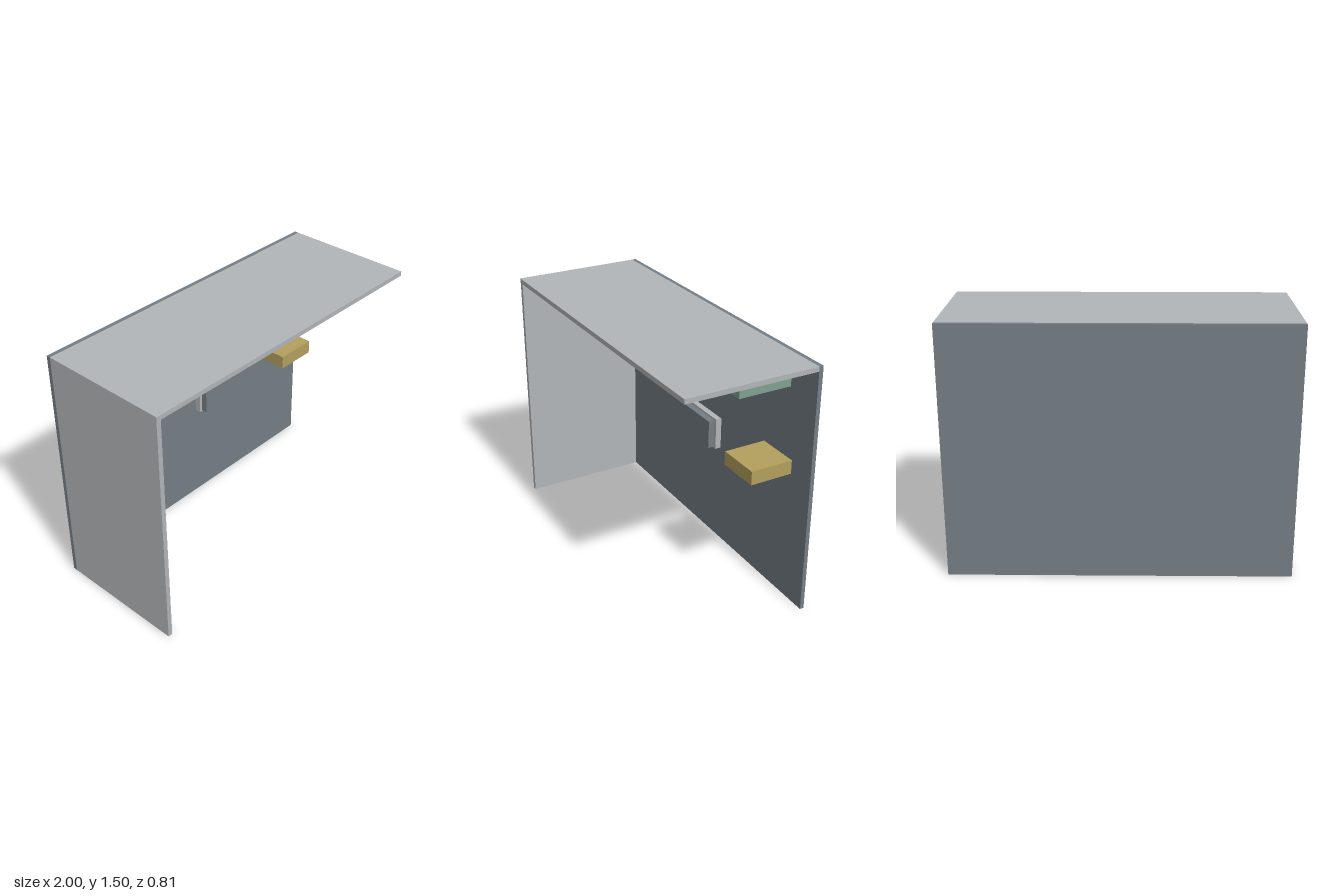
import * as THREE from 'three';

const material = (name, color) => {
  const m = new THREE.MeshStandardMaterial({ color });
  m.name = name;
  return m;
};

export function createModel() {
  const group = new THREE.Group();
  const lightGrey = material('light grey', 0xb2b5b8);
  const slate = material('slate grey', 0x757e85);
  const green = material('soft green', 0x80a292);
  const ochre = material('ochre', 0xb3a05e);

  // Box given by its [min, max] extent along each axis
  const box = (name, mat, [x0, x1], [y0, y1], [z0, z1]) => {
    const mesh = new THREE.Mesh(new THREE.BoxGeometry(x1 - x0, y1 - y0, z1 - z0), mat);
    mesh.position.set((x0 + x1) / 2, (y0 + y1) / 2, (z0 + z1) / 2);
    mesh.name = name;
    group.add(mesh);
  };

  // Open shell: back wall, one side wall and roof
  box('backWall', slate, [-1, 1], [0, 1.5], [-0.405, -0.38]);
  box('sideWall', lightGrey, [-1, -0.972], [0, 1.472], [-0.38, 0.403]);
  box('roof', lightGrey, [-1, 1], [1.472, 1.5], [-0.38, 0.405]);

  // Hanging panels
  box('upperPanel', lightGrey, [-0.775, -0.56], [1.275, 1.4], [-0.155, -0.12]);
  box('middlePanel', lightGrey, [-0.68, -0.26], [1.01, 1.192], [-0.219, -0.175]);
  box('screenBacking', lightGrey, [-0.1, 0.345], [0.773, 0.96], [-0.235, -0.2]);
  box('screen', slate, [-0.083, 0.327], [0.78, 0.948], [-0.2, -0.163]);

  // Wall cabinets
  box('greenCabinet', green, [0.567, 0.777], [1.302, 1.427], [-0.38, -0.055]);
  box('ochreShelf', ochre, [0.567, 0.83], [0.8, 0.883], [-0.38, -0.12]);

  // Row of knobs under the shelf
  const knobGeometry = new THREE.SphereGeometry(0.029, 16, 12);
  [-0.18, -0.255, -0.33].forEach((z, i) => {
    const knob = new THREE.Mesh(knobGeometry, i === 0 ? lightGrey : slate);
    knob.position.set(0.66, 0.777, z);
    knob.name = 'knob' + (i + 1);
    group.add(knob);
  });

  return group;
}
